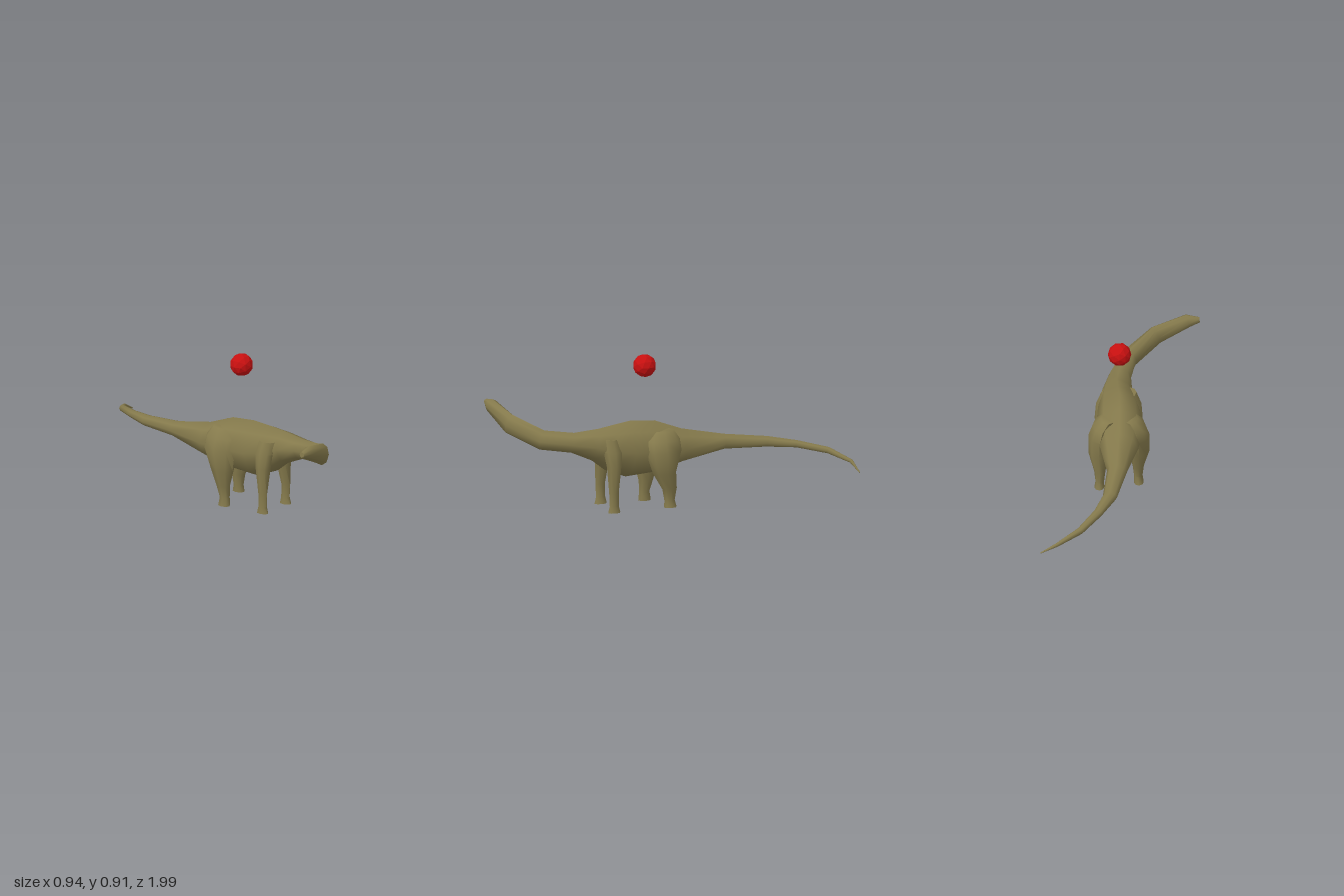
import * as THREE from 'three';
import { toCreasedNormals } from 'three/addons/utils/BufferGeometryUtils.js';

const SIDES = 8;

// Skin over rings of { c: centre, r, u: axes, w, h: half sizes }, capped at both ends
function loft(rings) {
  const pos = [], index = [];
  for (const { c, r, u, w, h } of rings) {
    for (let j = 0; j < SIDES; j++) {
      const a = (j / SIDES) * Math.PI * 2;
      const p = c.clone().addScaledVector(r, Math.cos(a) * w).addScaledVector(u, Math.sin(a) * h);
      pos.push(p.x, p.y, p.z);
    }
  }
  const last = rings.length - 1, first = rings.length * SIDES;
  for (const ring of [rings[0], rings[last]]) pos.push(ring.c.x, ring.c.y, ring.c.z);
  for (let j = 0; j < SIDES; j++) {
    const k = (j + 1) % SIDES;
    for (let i = 0; i < last; i++) {
      const a = i * SIDES + j, b = i * SIDES + k;
      index.push(a, b, a + SIDES, b, b + SIDES, a + SIDES);
    }
    index.push(first, k, j, first + 1, last * SIDES + j, last * SIDES + k);
  }
  const g = new THREE.BufferGeometry();
  g.setAttribute('position', new THREE.Float32BufferAttribute(pos, 3));
  g.setIndex(index);
  return toCreasedNormals(g, 1.05);
}

// Rings that stand square to a path of [x, y, z, half width, half height]
function alongPath(stations) {
  const pts = stations.map(([x, y, z]) => new THREE.Vector3(x, y, z));
  const up = new THREE.Vector3(0, 1, 0);
  return stations.map(([, , , w, h], i) => {
    const before = pts[Math.max(i - 1, 0)], after = pts[Math.min(i + 1, pts.length - 1)];
    const t = after.clone().sub(before).normalize();
    const r = up.clone().cross(t).normalize();
    return { c: pts[i], r, u: t.clone().cross(r), w, h };
  });
}

// Level rings from top to bottom, of [x, y, z, half width, half depth]
function downLeg(stations) {
  const r = new THREE.Vector3(1, 0, 0), u = new THREE.Vector3(0, 0, 1);
  return stations.map(([x, y, z, w, h]) => ({ c: new THREE.Vector3(x, y, z), r, u, w, h }));
}

export function createModel() {
  const group = new THREE.Group();
  const hide = new THREE.MeshStandardMaterial({ name: 'olive hide', color: 0x857a4c });
  const red = new THREE.MeshStandardMaterial({ name: 'red', color: 0xc81010, flatShading: true });
  const add = (name, geometry, material) => {
    const mesh = new THREE.Mesh(geometry, material);
    mesh.name = name;
    group.add(mesh);
    return mesh;
  };

  // Tail, trunk, neck and head in one sweep
  add('body', loft(alongPath([
    [0.465, 0.2, -1.0, 0.003, 0.003],
    [0.37, 0.245, -0.985, 0.01, 0.012],
    [0.235, 0.285, -0.895, 0.02, 0.02],
    [0.13, 0.312, -0.74, 0.029, 0.022],
    [0.06, 0.325, -0.58, 0.042, 0.032],
    [0.018, 0.34, -0.33, 0.058, 0.045],
    [0.003, 0.34, -0.07, 0.11, 0.1],
    [0, 0.35, 0.1, 0.135, 0.155],
    [0, 0.352, 0.26, 0.13, 0.167],
    [0.01, 0.375, 0.38, 0.112, 0.135],
    [0.012, 0.4, 0.47, 0.088, 0.095],
    [-0.005, 0.42, 0.6, 0.066, 0.06],
    [-0.06, 0.44, 0.77, 0.05, 0.06],
    [-0.215, 0.51, 0.91, 0.038, 0.063],
    [-0.4, 0.58, 0.953, 0.037, 0.04],
    [-0.468, 0.585, 0.955, 0.016, 0.016],
  ])), hide);

  // Legs: the right hind leg steps further forward
  for (const side of [1, -1]) {
    const label = side > 0 ? 'left' : 'right';
    const step = side > 0 ? 0 : 0.07;
    const sole = side > 0 ? 0.01 : 0;
    const hx = side > 0 ? 1 : -0.94;
    const fx = side > 0 ? 1 : -0.92;
    add(label + 'HindLeg', loft(downLeg([
      [0.065 * hx, 0.46, 0.07, 0.045, 0.07],
      [0.1 * hx, 0.41, 0.08, 0.055, 0.105],
      [0.115 * hx, 0.345, 0.08, 0.065, 0.11],
      [0.12 * hx, 0.22, 0.078 + step * 0.35, 0.06, 0.072],
      [0.115 * hx, 0.12, 0.045 + step * 0.85, 0.033, 0.045],
      [0.115 * hx, 0.05, 0.045 + step, 0.025, 0.032],
      [0.118 * hx, sole, 0.042 + step, 0.029, 0.039],
    ])), hide);
    add(label + 'FrontLeg', loft(downLeg([
      [0.065 * fx, 0.44, 0.39, 0.04, 0.055],
      [0.092 * fx, 0.37, 0.385, 0.043, 0.06],
      [0.1 * fx, 0.28, 0.383, 0.043, 0.045],
      [0.114 * fx, 0.13, 0.39, 0.021, 0.03],
      [0.113 * fx, 0.05, 0.388, 0.02, 0.028],
      [0.113 * fx, 0.01, 0.388, 0.026, 0.038],
    ])), hide);
  }

  // Ball floating above the back
  add('ball', new THREE.IcosahedronGeometry(0.068, 1), red).position.set(0, 0.84, 0.155);
  return group;
}
